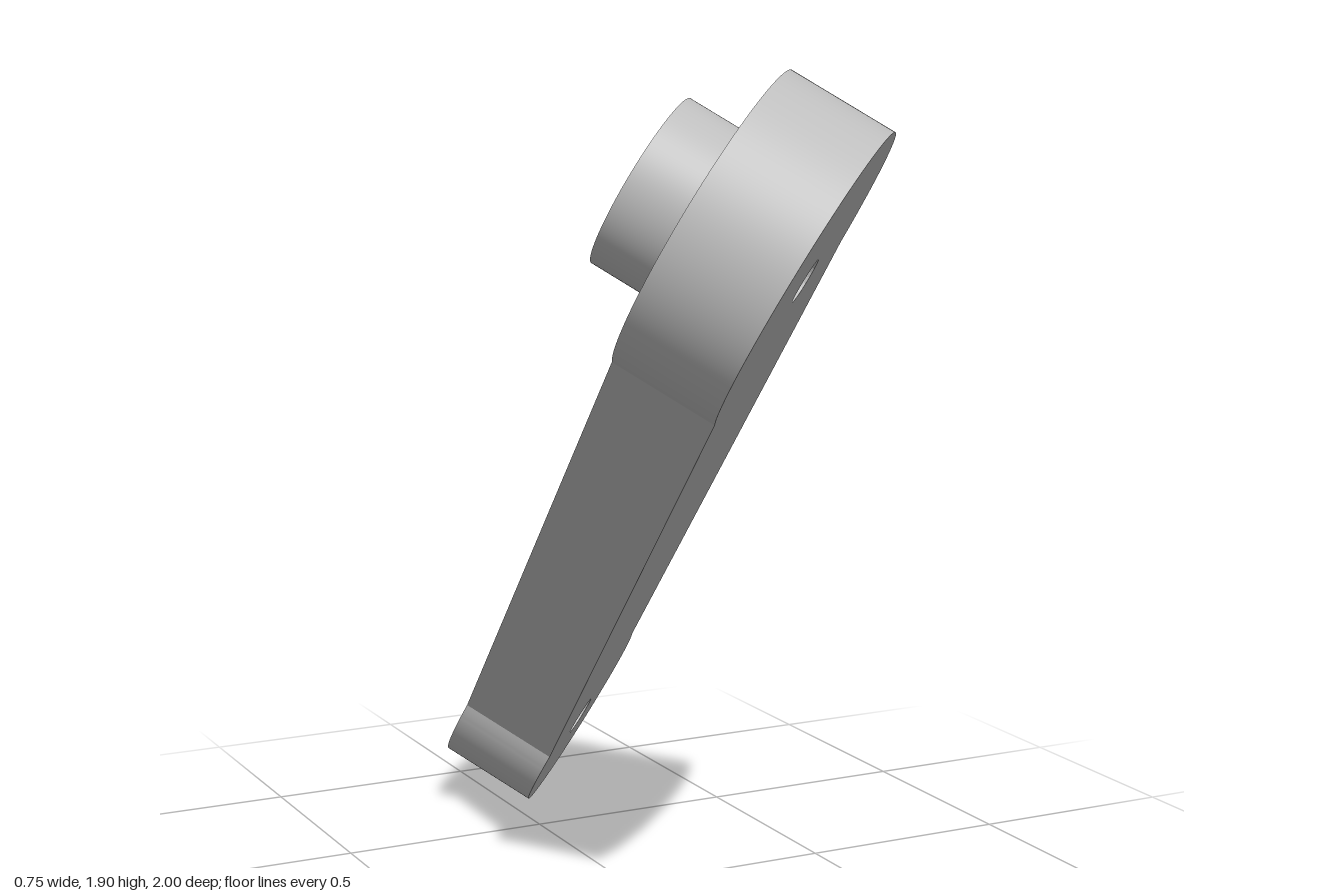
import * as THREE from 'three';
import { toCreasedNormals } from 'three/addons/utils/BufferGeometryUtils.js';

const LENGTH = 1.874;      // distance between the two bores
const THICK = 0.242;       // arm thickness
const BIG_R = 0.345, SMALL_R = 0.248, BORE_R = 0.05;
const BOSS_R = 0.193, BOSS_H = 0.147;
const SOCKET_R = 0.145, SOCKET_FLAT = 0.09, SOCKET_DEPTH = 0.155;

const bore = (y) => new THREE.Path().absarc(0, y, BORE_R, 0, Math.PI * 2, false);

// Circle with one flat, the flat facing the big end
function dProfile(path) {
  const a = Math.asin(SOCKET_FLAT / SOCKET_R);
  path.absarc(0, LENGTH, SOCKET_R, -a, Math.PI + a, false);
  path.closePath();
  return path;
}

export function createModel() {
  const grey = new THREE.MeshStandardMaterial({ color: 0xbebebe });
  grey.name = 'grey';
  const crank = new THREE.Group();
  crank.name = 'crankArm';

  // Extrude a profile between two depths below the outer face
  function addPart(name, shape, from, to) {
    const geo = new THREE.ExtrudeGeometry(shape, {
      depth: to - from, bevelEnabled: false, curveSegments: 56,
    });
    geo.translate(0, 0, -to);
    const mesh = new THREE.Mesh(toCreasedNormals(geo, 0.4), grey);
    mesh.name = name;
    crank.add(mesh);
  }

  // Tapered arm with a round head at each end
  const a = Math.atan2(0.17, 0.295), b = Math.atan2(0.115, 0.217);
  const arm = new THREE.Shape();
  arm.absarc(0, 0, BIG_R, Math.PI - a, Math.PI * 2 + a, false);
  arm.absarc(0, LENGTH, SMALL_R, -b, Math.PI + b, false);
  arm.closePath();
  arm.holes.push(bore(0), dProfile(new THREE.Path()));
  addPart('arm', arm, 0, THICK);

  // Floor that closes the D-shaped socket, with its bore
  const floor = dProfile(new THREE.Shape());
  floor.holes.push(bore(LENGTH));
  addPart('socketFloor', floor, 0, THICK - SOCKET_DEPTH);

  // Raised boss on the inner face of the big head
  const boss = new THREE.Shape().absarc(0, 0, BOSS_R, 0, Math.PI * 2, false);
  boss.holes.push(bore(0));
  addPart('boss', boss, THICK, THICK + BOSS_H);

  // Lean the arm: Y runs from big to small head, Z is the outer face
  const along = new THREE.Vector3(0.15, -1.27, -1.37).normalize();
  const outward = new THREE.Vector3(0.68, -0.5, 0.54);
  const across = new THREE.Vector3().crossVectors(along, outward).normalize();
  outward.crossVectors(across, along);
  crank.quaternion.setFromRotationMatrix(
    new THREE.Matrix4().makeBasis(across, along, outward));
  crank.position.set(0.04, 1.488, 0.71);

  const model = new THREE.Group();
  model.name = 'model';
  model.add(crank);
  return model;
}
